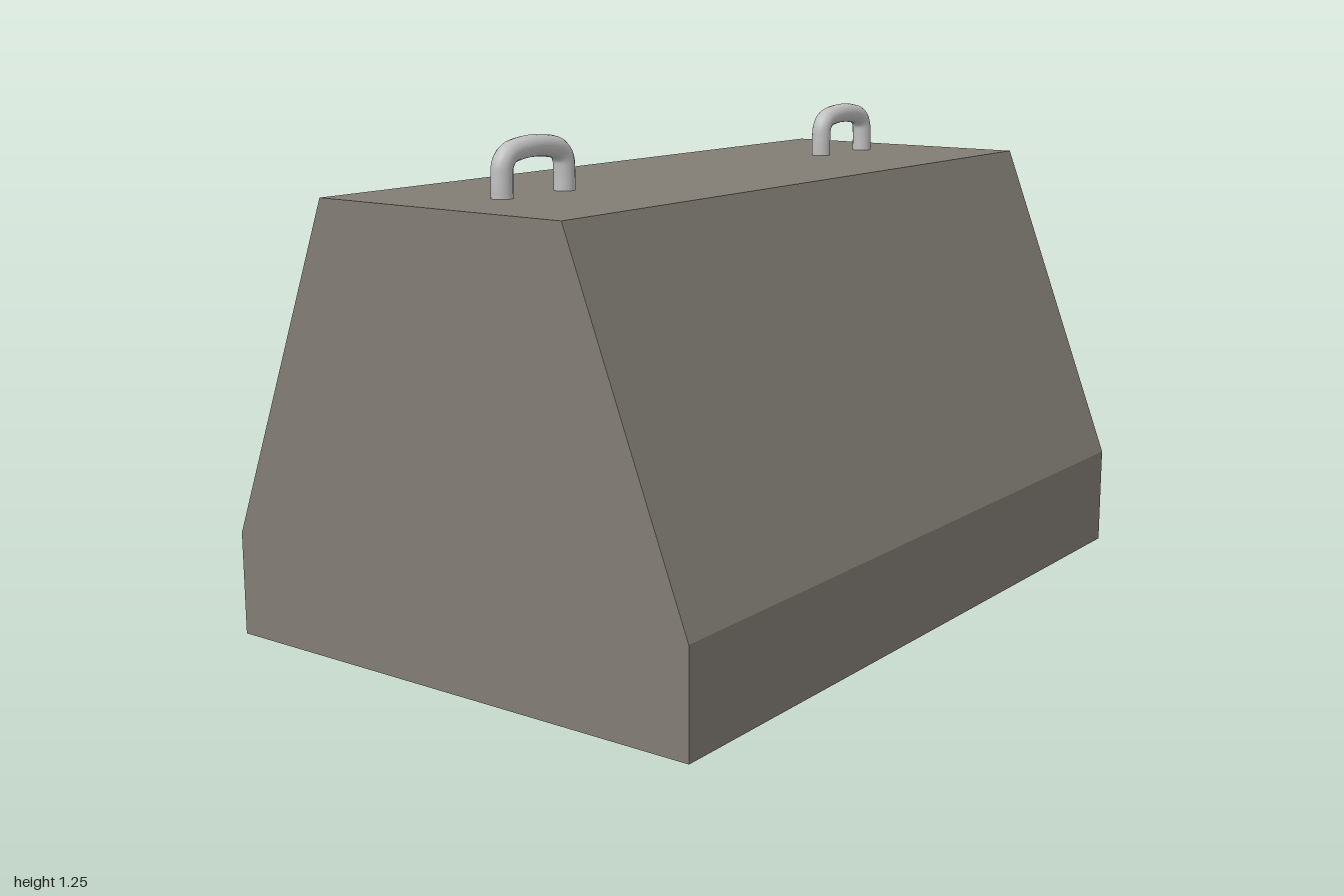
import * as THREE from 'three';

const concrete = new THREE.MeshStandardMaterial({ color: 0x827d75 });
concrete.name = 'concrete';
const steel = new THREE.MeshStandardMaterial({ color: 0xc0c0c0 });
steel.name = 'steel';

const LENGTH = 2, TOP = 1.107;

// Block: hexagonal end profile extruded along x
function makeBlock() {
  const profile = new THREE.Shape([
    [-0.683, 0], [0.683, 0], [0.683, 0.26],
    [0.359, TOP], [-0.359, TOP], [-0.683, 0.26],
  ].map(([z, y]) => new THREE.Vector2(z, y)));
  const geometry = new THREE.ExtrudeGeometry(profile, { depth: LENGTH, bevelEnabled: false });
  geometry.translate(0, 0, -LENGTH / 2).rotateY(Math.PI / 2);
  const block = new THREE.Mesh(geometry, concrete);
  block.name = 'concreteBlock';
  return block;
}

// Lifting handle: bent bar with a slightly arched crown
function makeHandle(name, x) {
  const half = [[0.109, -0.01], [0.109, 0.045], [0.105, 0.078], [0.086, 0.099], [0.045, 0.109]];
  const points = [
    ...half.map(([px, py]) => new THREE.Vector3(-px, py, 0)),
    new THREE.Vector3(0, 0.112, 0),
    ...half.slice().reverse().map(([px, py]) => new THREE.Vector3(px, py, 0)),
  ];
  const path = new THREE.CatmullRomCurve3(points);
  const handle = new THREE.Mesh(new THREE.TubeGeometry(path, 48, 0.026, 16), steel);
  handle.name = name;
  handle.position.set(x, TOP, -0.012);
  return handle;
}

export function createModel() {
  const model = new THREE.Group();
  model.name = 'concreteBarrier';
  model.add(makeBlock(), makeHandle('rightHandle', -0.659), makeHandle('leftHandle', 0.678));
  return model;
}
